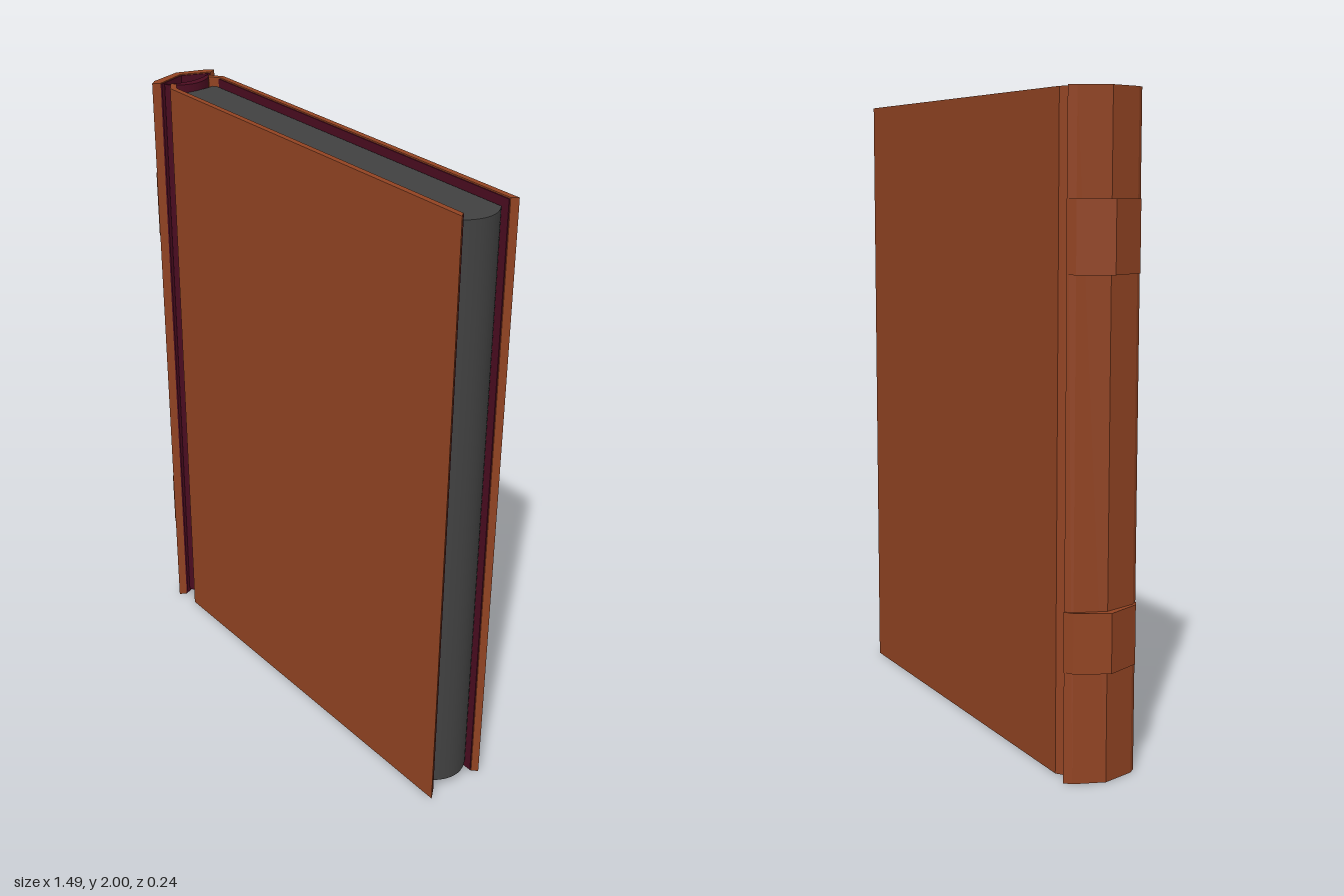
import * as THREE from 'three';

const mat = (name, color) => {
  const m = new THREE.MeshStandardMaterial({ color });
  m.name = name;
  return m;
};

// Upright prism from an (x, z) outline between two heights
function prism(name, shape, y0, y1, material) {
  const g = new THREE.ExtrudeGeometry(shape, { depth: y1 - y0, bevelEnabled: false, curveSegments: 20 });
  g.rotateX(-Math.PI / 2).translate(0, y0, 0);
  const mesh = new THREE.Mesh(g, material);
  mesh.name = name;
  return mesh;
}

// Shapes use (x, -z) because the extrusion is turned upright
const outline = pts => new THREE.Shape(pts.map(([x, z]) => new THREE.Vector2(x, -z)));

export function createModel() {
  const book = new THREE.Group();
  book.name = 'book';
  const leather = mat('brown leather', 0x914322);
  const paper = mat('dark grey paper', 0x414141);
  const lining = mat('burgundy lining', 0x4a0c20);

  // Front and back boards with a bevelled hinge edge, lined inside
  for (const s of [1, -1]) {
    const side = s > 0 ? 'front' : 'back';
    book.add(prism(side + 'Cover', outline([
      [-0.635, 0.072 * s], [-0.593, 0.103 * s], [0.745, 0.103 * s],
      [0.73, 0.085 * s], [-0.585, 0.085 * s], [-0.618, 0.062 * s],
    ]), 0, 2, leather));
    book.add(prism(side + 'Lining', outline([
      [-0.59, 0.085 * s], [0.728, 0.085 * s], [0.728, 0.081 * s], [-0.59, 0.081 * s],
    ]), 0.004, 1.996, lining));
  }

  // Page block: hollow at the spine, rounded at the fore edge
  const pages = new THREE.Shape();
  pages.moveTo(-0.61, -0.078);
  pages.lineTo(0.705, -0.078);
  pages.quadraticCurveTo(0.771, 0.005, 0.705, 0.078);
  pages.lineTo(-0.61, 0.078);
  pages.quadraticCurveTo(-0.595, 0, -0.61, -0.078);
  book.add(prism('pages', pages, 0.035, 1.97, paper));

  // Curved binding strip behind the pages
  const strip = new THREE.Shape();
  strip.moveTo(-0.655, -0.083);
  strip.lineTo(-0.638, -0.078);
  strip.quadraticCurveTo(-0.565, 0, -0.638, 0.078);
  strip.lineTo(-0.655, 0.083);
  strip.quadraticCurveTo(-0.605, 0, -0.655, -0.083);
  book.add(prism('bindingStrip', strip, 0.02, 1.995, lining));

  // Peaked spine with its inner lining
  book.add(prism('spine', outline([
    [-0.67, -0.12], [-0.688, -0.1], [-0.72, -0.005], [-0.688, 0.1], [-0.67, 0.12],
    [-0.657, 0.097], [-0.695, -0.005], [-0.657, -0.097],
  ]), 0, 2, leather));
  book.add(prism('spineLining', outline([
    [-0.657, -0.097], [-0.695, -0.005], [-0.657, 0.097],
    [-0.655, 0.093], [-0.691, -0.005], [-0.655, -0.093],
  ]), 0.003, 1.997, lining));

  // Raised bands across the spine
  for (const [y0, y1] of [[0.335, 0.515], [1.48, 1.69]]) {
    book.add(prism('spineBand', outline([
      [-0.67, -0.122], [-0.697, -0.105], [-0.745, -0.005], [-0.697, 0.105], [-0.67, 0.122],
      [-0.684, 0.1], [-0.71, -0.005], [-0.684, -0.1],
    ]), y0, y1, leather));
  }
  return book;
}
